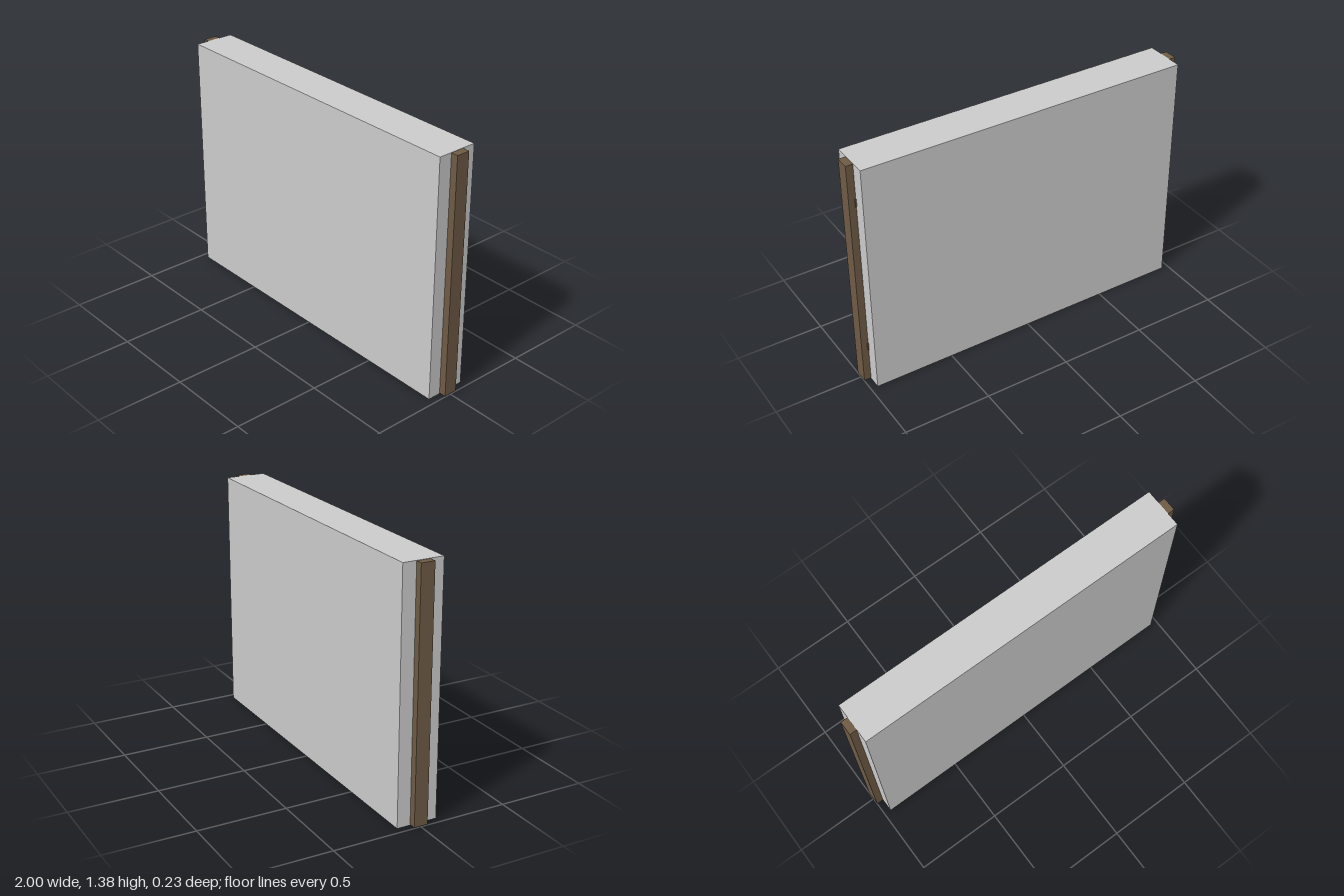
import * as THREE from 'three';

export function createModel() {
  const model = new THREE.Group();
  const grey = new THREE.MeshStandardMaterial({ color: 0xcccccc });
  const brown = new THREE.MeshStandardMaterial({ color: 0x6e5b45 });

  // Box spanning the given ranges on each axis
  function block(name, material, [x0, x1], [y0, y1], [z0, z1]) {
    const mesh = new THREE.Mesh(new THREE.BoxGeometry(x1 - x0, y1 - y0, z1 - z0), material);
    mesh.position.set((x0 + x1) / 2, (y0 + y1) / 2, (z0 + z1) / 2);
    mesh.name = name;
    model.add(mesh);
  }

  // Solid wall slab
  block('wallPanel', grey, [-0.96, 0.96], [0, 1.385], [-0.115, 0.115]);

  // Upright posts let into both ends of the slab
  block('leftPost', brown, [0.955, 1], [0.004, 1.383], [-0.039, 0.039]);
  block('rightPost', brown, [-1, -0.955], [0.004, 1.383], [-0.039, 0.039]);

  // Small hinges behind the left post
  for (const [name, y] of [['lowerHinge', 0.232], ['upperHinge', 1.158]]) {
    block(name, brown, [0.95, 0.967], [y - 0.023, y + 0.023], [-0.046, -0.035]);
  }

  return model;
}
